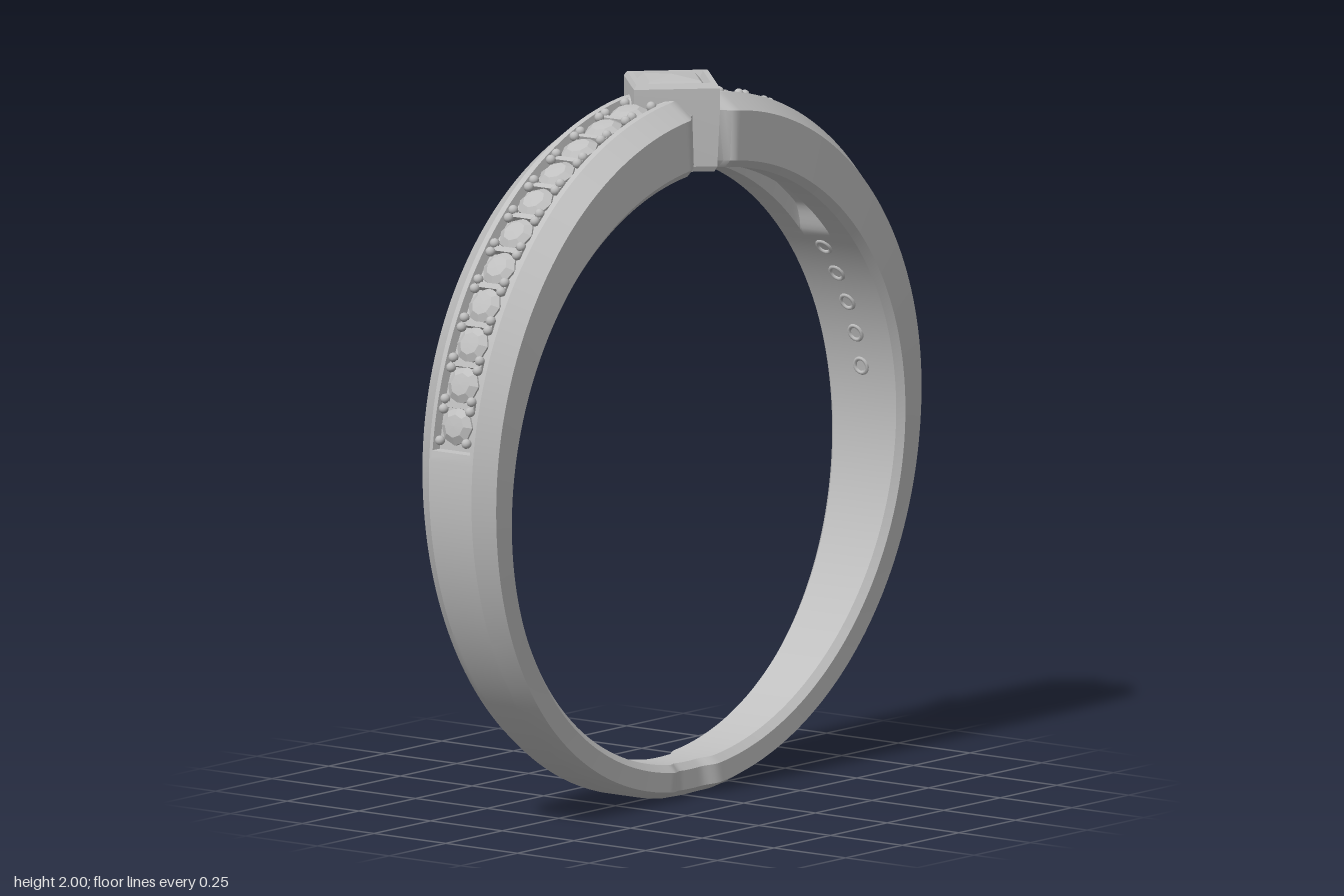
import * as THREE from 'three';
import { toCreasedNormals } from 'three/addons/utils/BufferGeometryUtils.js';

const metal = new THREE.MeshStandardMaterial({ color: 0xbfbfbf });
metal.name = 'silver grey';

const STONES = 11, START = 0.14, END = 1.445;
const smooth = THREE.MathUtils.smoothstep;

// Outer and inner outline of the band; t is the angle from the top
const outer = (t) => new THREE.Vector2(0.98 * Math.sin(t), 0.975 + 0.975 * Math.cos(t));
const inner = (t) => new THREE.Vector2(0.85 * Math.sin(t), 0.92 + 0.826 * Math.cos(t));

// Cross-section as [z, depth below the outer surface]
function section(t) {
  const a = Math.abs(t);
  const p = outer(t);
  const thick = p.distanceTo(inner(t));
  const full = 0.085 + 0.061 * Math.sin((Math.PI / 2) * p.y / 1.95);
  // The shoulders pinch in beside the setting
  const w = full * (0.76 + 0.24 * smooth(Math.abs(p.x), 0.05, 0.11));
  const f = w * 0.58;
  const c = Math.min(0.066, f * 0.9);
  const bevel = 0.02 + 0.025 * smooth(p.y, 0, 1);
  const d = 0.028 * smooth(a, START - 0.02, START) * (1 - smooth(a, END, END + 0.02));
  const e = 0.04 * smooth(a, 0.2, 0.23) * (1 - smooth(a, 0.75, 0.85));
  const g = 0.05;
  const half = [[w, bevel], [f, 0], [c, 0], [c - 0.005, d]];
  const low = [[w, thick - 0.02], [w - 0.018, thick], [g, thick], [g - 0.004, thick - e]];
  const flip = ([z, y]) => [-z, y];
  return [
    ...half, ...[...half].reverse().map(flip),
    ...low.map(flip), ...[...low].reverse(),
  ];
}

function bandGeometry() {
  const rows = 400, pos = [], index = [];
  let n = 0;
  for (let i = 0; i < rows; i++) {
    const t = -Math.PI + (i / rows) * Math.PI * 2;
    const o = outer(t);
    const dir = inner(t).sub(o).normalize();
    const pts = section(t);
    n = pts.length;
    for (const [z, depth] of pts) pos.push(o.x + dir.x * depth, o.y + dir.y * depth, z);
  }
  for (let i = 0; i < rows; i++) {
    for (let j = 0; j < n; j++) {
      const i2 = (i + 1) % rows, j2 = (j + 1) % n;
      const a = i * n + j, b = i * n + j2, c = i2 * n + j, d = i2 * n + j2;
      index.push(a, c, b, b, c, d);
    }
  }
  const geo = new THREE.BufferGeometry();
  geo.setAttribute('position', new THREE.Float32BufferAttribute(pos, 3));
  geo.setIndex(index);
  return toCreasedNormals(geo, 0.6);
}

// Faceted solid turned from [radius, height] points
function faceted(points, sides) {
  const geo = new THREE.LatheGeometry(points.map(([r, y]) => new THREE.Vector2(r, y)), sides);
  return toCreasedNormals(geo, 0.1);
}

function add(parent, name, geo) {
  const mesh = new THREE.Mesh(geo, metal);
  mesh.name = name;
  parent.add(mesh);
  return mesh;
}

// Holder whose local y points outward from the band at angle t
function station(parent, name, t, p) {
  const g = new THREE.Group();
  g.name = name;
  g.position.set(p.x, p.y, 0);
  g.rotation.z = -t;
  parent.add(g);
  return g;
}

export function createModel() {
  const ring = new THREE.Group();
  ring.name = 'ring';
  add(ring, 'band', bandGeometry());

  // Diamond-shaped setting with a raised rim
  const setting = new THREE.Group();
  setting.name = 'setting';
  ring.add(setting);
  add(setting, 'bezel', faceted([
    [0, 1.745], [0.148, 1.745], [0.158, 1.76], [0.168, 1.93], [0.168, 1.978],
    [0.157, 1.99], [0.136, 1.99], [0.124, 1.974], [0, 1.974],
  ], 4));
  add(setting, 'centreStone', faceted([[0.124, 1.972], [0.098, 1.992], [0, 2]], 4));

  // Small round stones, their beads and the holes behind them
  const stoneGeo = faceted([[0, -0.04], [0.053, -0.004], [0.053, 0.002], [0.032, 0.016], [0, 0.018]], 8);
  const beadGeo = new THREE.SphereGeometry(0.014, 10, 8);
  const barGeo = new THREE.BoxGeometry(0.016, 0.026, 0.11);
  const holeGeo = new THREE.TorusGeometry(0.021, 0.006, 6, 16).rotateX(Math.PI / 2);
  const step = (END - START) / STONES;
  for (const side of [1, -1]) {
    for (let k = 0; k <= STONES; k++) {
      const t = side * (START + step * k);
      const joint = station(ring, 'beadSetting', t, outer(t));
      if (k > 0 && k < STONES) add(joint, 'bar', barGeo).position.y = -0.018;
      for (const z of [-0.046, 0.046]) {
        for (const x of [-0.014, 0.014]) {
          if ((k === 0 && x * side < 0) || (k === STONES && x * side > 0)) continue;
          add(joint, 'bead', beadGeo).position.set(x, -0.004, z);
        }
      }
      if (k === STONES) continue;
      const mid = side * (START + step * (k + 0.5));
      const seat = station(ring, 'stoneSeat', mid, outer(mid));
      add(seat, 'smallStone', stoneGeo).position.y = -0.015;
      if (k > 5) add(station(ring, 'stoneHole', mid, inner(mid)), 'holeRim', holeGeo);
    }
  }
  return ring;
}
